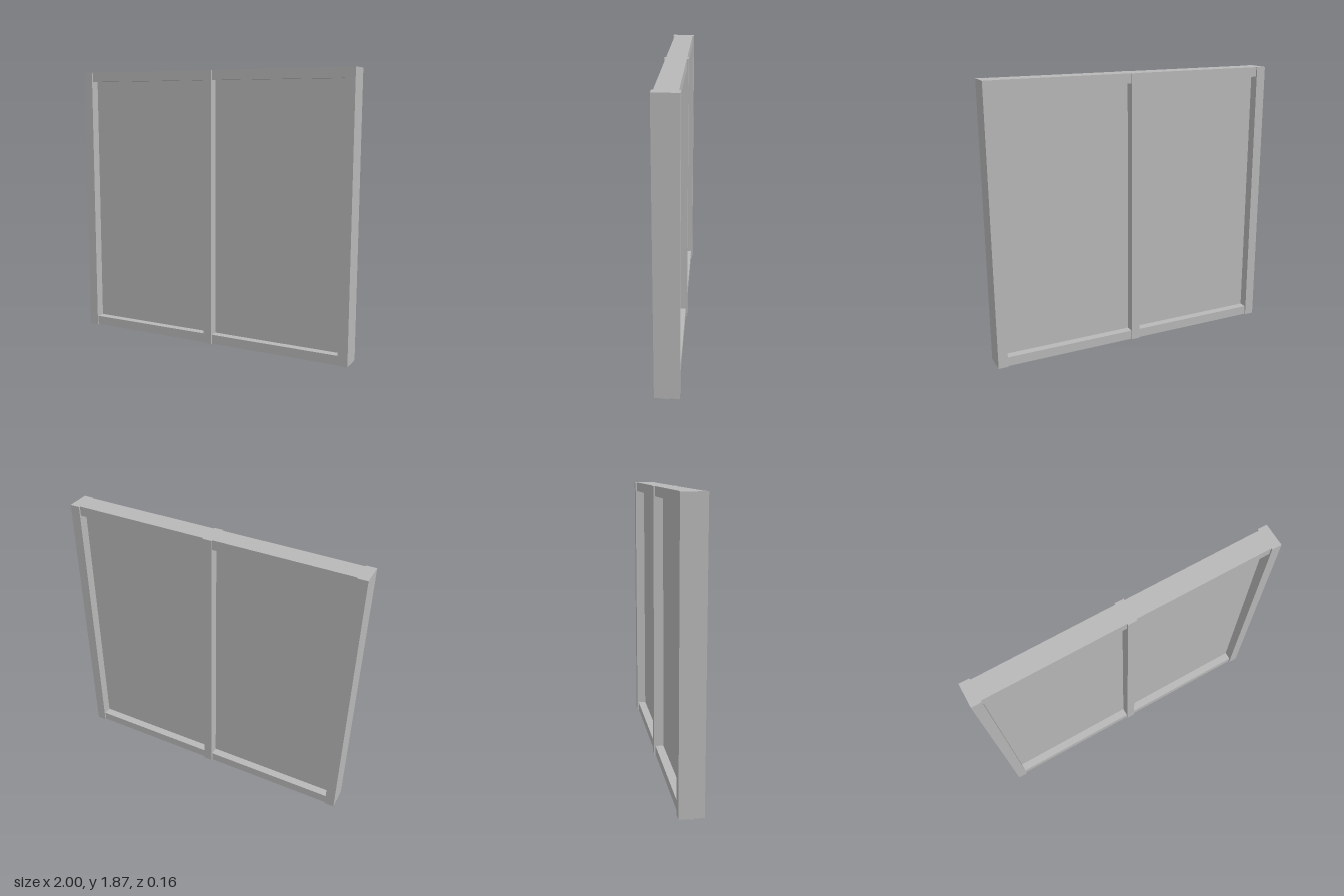
import * as THREE from 'three';

const HEIGHT = 1.87, BASE = 0.005;

export function createModel() {
  const model = new THREE.Group();
  model.name = 'framedPartition';
  const grey = new THREE.MeshStandardMaterial({ color: 0xb8b8b8 });
  grey.name = 'grey';

  // Box given by its x and y limits and its depth, centred on z = 0
  function addBox(name, x0, x1, y0, y1, depth) {
    const mesh = new THREE.Mesh(new THREE.BoxGeometry(x1 - x0, y1 - y0, depth), grey);
    mesh.position.set((x0 + x1) / 2, (y0 + y1) / 2, 0);
    mesh.name = name;
    model.add(mesh);
  }

  // Upright posts stand proud of the rails
  addBox('rightPost', -1, -0.935, BASE, HEIGHT, 0.156);
  addBox('centrePost', -0.03, 0.03, BASE, HEIGHT, 0.156);
  addBox('leftPost', 0.935, 1, BASE, HEIGHT, 0.156);

  // Rails and recessed panel in each bay
  for (const [side, x0, x1] of [['right', -0.935, -0.03], ['left', 0.03, 0.935]]) {
    addBox(side + 'BottomRail', x0, x1, BASE, 0.068, 0.136);
    addBox(side + 'TopRail', x0, x1, 1.805, HEIGHT, 0.136);
    addBox(side + 'Panel', x0, x1, 0.068, 1.805, 0.026);
  }

  // Low tongue under the frame
  addBox('baseTongue', -1, 1, 0, BASE, 0.026);
  return model;
}
